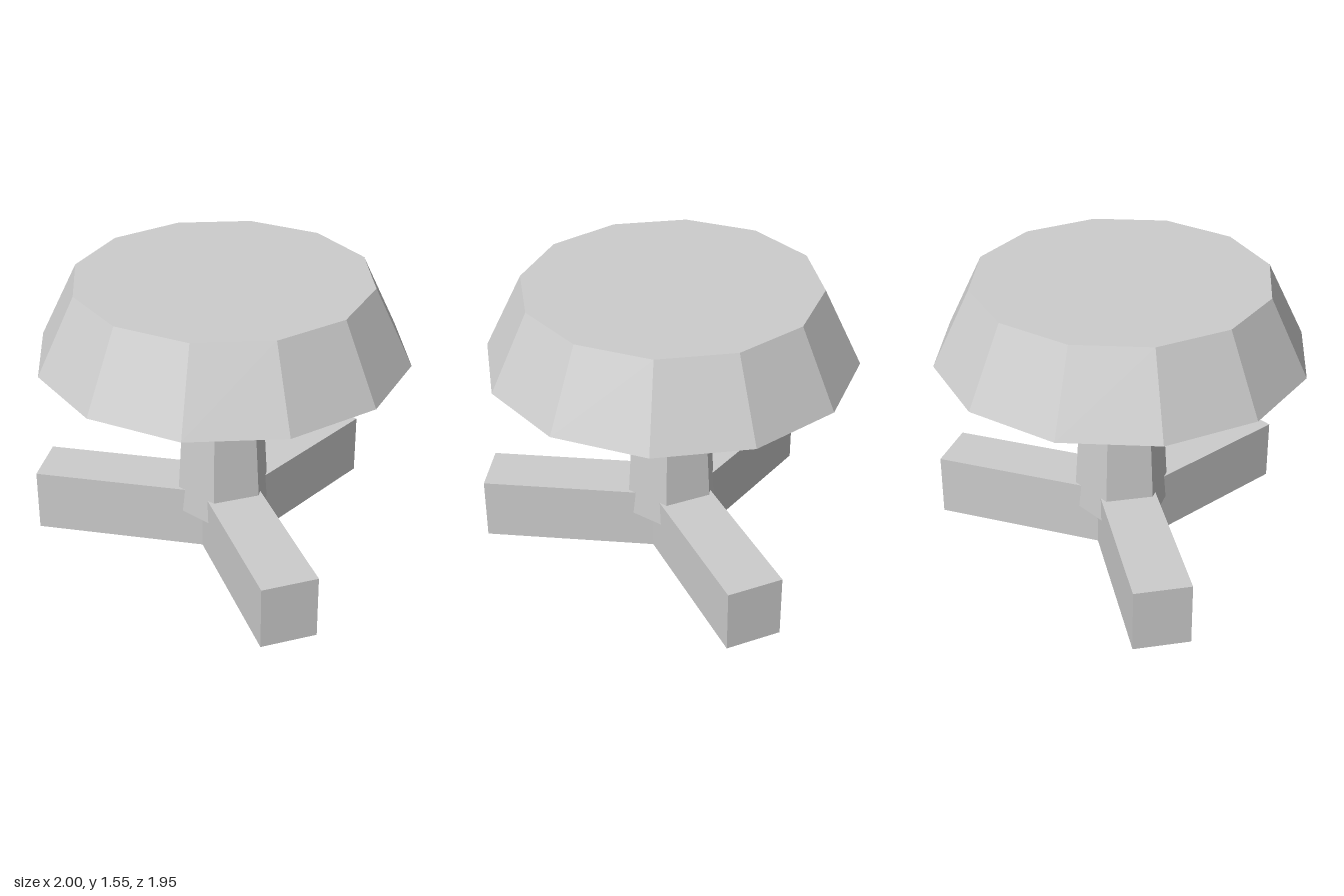
import * as THREE from 'three';

export function createModel() {
  const model = new THREE.Group();
  const grey = new THREE.MeshStandardMaterial({ color: 0xcccccc, flatShading: true });
  grey.name = 'light grey';

  const add = (name, geometry, y) => {
    const mesh = new THREE.Mesh(geometry, grey);
    mesh.name = name;
    mesh.position.set(-0.025, y, 0);
    model.add(mesh);
  };

  // Three-armed base: each arm gives two end corners and the notch beside it
  const length = 1.02, half = 0.15, notch = half / Math.sin(Math.PI / 3);
  const outline = [];
  for (let i = 0; i < 3; i++) {
    const a = (i * Math.PI * 2) / 3, b = a + Math.PI / 3;
    const c = Math.cos(a), s = Math.sin(a);
    outline.push(
      new THREE.Vector2(length * c + half * s, length * s - half * c),
      new THREE.Vector2(length * c - half * s, length * s + half * c),
      new THREE.Vector2(notch * Math.cos(b), notch * Math.sin(b)),
    );
  }
  const base = new THREE.ExtrudeGeometry(new THREE.Shape(outline), { depth: 0.345, bevelEnabled: false });
  base.rotateX(-Math.PI / 2);
  add('base', base, 0);

  // Tapered six-sided stem, sunk into the base
  add('stem', new THREE.CylinderGeometry(0.205, 0.262, 0.93, 6), 0.21 + 0.93 / 2);

  // Twelve-sided sloping cap
  add('cap', new THREE.CylinderGeometry(0.775, 0.975, 0.41, 12), 1.14 + 0.41 / 2);

  return model;
}
